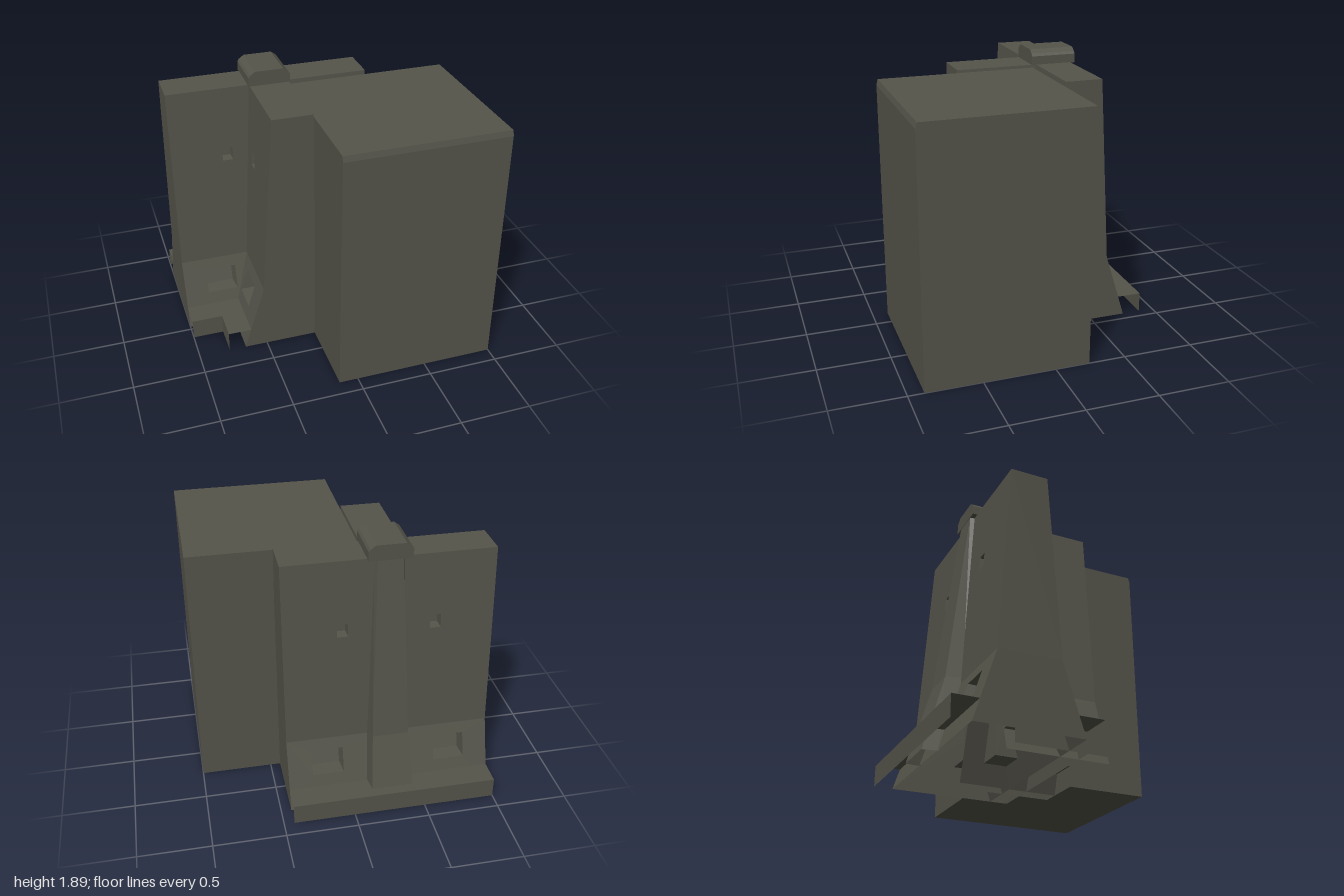
import * as THREE from 'three';

const TOP = 1.79, KNEE = 0.48, STEP = 0.145;

export function createModel() {
  const concrete = new THREE.MeshStandardMaterial({ color: 0x55544a, side: THREE.DoubleSide });
  concrete.name = 'olive grey';
  const model = new THREE.Group();
  model.name = 'barrierJunction';

  const add = (parent, geometry, name) => {
    const mesh = new THREE.Mesh(geometry, concrete);
    mesh.name = name;
    parent.add(mesh);
    return mesh;
  };
  const polygon = (pts) => new THREE.Shape(pts.map(([x, y]) => new THREE.Vector2(x, y)));
  const rect = (x0, x1, y0, y1) => [[x0, y0], [x1, y0], [x1, y1], [x0, y1]];

  // Half-thickness of a barrier at height y: base, knee, top
  const halfAt = ([base, knee, top], y) => (y < KNEE
    ? base + (knee - base) * y / KNEE
    : knee + (top - knee) * (y - KNEE) / (TOP - KNEE));

  // Open five-sided recess lying behind the sloping face
  function pocketGeometry(p, prof) {
    const g = new THREE.BoxGeometry(1, 1, 1).toNonIndexed();
    const keep = Array.from(g.attributes.position.array).filter((_, i) => i < 72 || i >= 90);
    const pos = new THREE.Float32BufferAttribute(keep, 3);
    for (let i = 0; i < pos.count; i++) {
      const inner = pos.getZ(i) < 0;
      const k = inner ? 0.88 : 1;
      const x = p.u + pos.getX(i) * p.w * k, y = p.y + pos.getY(i) * p.h * k;
      pos.setXYZ(i, x, y, halfAt(prof, y) - (inner ? p.d : 0));
    }
    const out = new THREE.BufferGeometry();
    out.setAttribute('position', pos);
    out.computeVertexNormals();
    return out;
  }

  // Outline with clipped corners for the pocket mouths
  const mouth = (p) => new THREE.Path(rect(p.u - p.w / 2, p.u + p.w / 2, p.y - p.h / 2, p.y + p.h / 2)
    .map(([x, y]) => new THREE.Vector2(x, y)));

  // One side of a barrier: two sloping panels, pockets and a hollow foot ledge
  function addSide(parent, angle, u0, u1, prof, ledge, pockets, name) {
    const side = new THREE.Group();
    side.name = name;
    side.rotation.y = angle;
    parent.add(side);
    for (const [y0, y1] of [[0, KNEE], [KNEE, TOP]]) {
      const shape = polygon(rect(u0, u1, y0, y1));
      pockets.filter((p) => p.y > y0 && p.y < y1).forEach((p) => shape.holes.push(mouth(p)));
      const g = new THREE.ShapeGeometry(shape);
      const pos = g.attributes.position;
      for (let i = 0; i < pos.count; i++) pos.setZ(i, halfAt(prof, pos.getY(i)));
      g.computeVertexNormals();
      add(side, g, y0 ? 'upperPanel' : 'lowerPanel');
    }
    pockets.forEach((p) => add(side, pocketGeometry(p, prof), 'pocket'));
    const inner = halfAt(prof, STEP), mid = (u0 + u1) / 2;
    const shelf = new THREE.PlaneGeometry(u1 - u0, ledge - inner).rotateX(-Math.PI / 2);
    add(side, shelf.translate(mid, STEP, (ledge + inner) / 2), 'ledgeTop');
    add(side, new THREE.PlaneGeometry(u1 - u0, STEP).translate(mid, STEP / 2, ledge), 'ledgeFront');
    return side;
  }

  const endShape = ([b, k, t]) => new THREE.ShapeGeometry(polygon(
    [[-b, 0], [b, 0], [k, KNEE], [t, TOP], [-t, TOP], [-k, KNEE]]));
  const large = (u) => ({ u, y: 0.315, w: 0.22, h: 0.17, d: 0.1 });
  const small = (u) => ({ u, y: 1.3, w: 0.075, h: 0.095, d: 0.07 });

  // Long barrier running side to side
  const mainProf = [0.365, 0.215, 0.13];
  const main = new THREE.Group();
  main.name = 'longBarrier';
  main.position.z = -0.395;
  model.add(main);
  addSide(main, 0, -1, 0.43, mainProf, 0.495, [large(-0.72), small(-0.6)], 'frontSide');
  const back = addSide(main, Math.PI, -0.43, 1, mainProf, 0.495,
    [large(0.72), large(-0.15), small(0.6), small(-0.03)], 'backSide');
  add(main, endShape(mainProf).rotateY(Math.PI / 2).translate(0.43, 0, 0), 'leftEnd');
  add(main, endShape(mainProf).rotateY(-Math.PI / 2).translate(-1, 0, 0), 'rightEnd');
  add(main, new THREE.PlaneGeometry(1.43, 0.26).rotateX(-Math.PI / 2).translate(-0.285, TOP, 0), 'barrierTop');

  // Short barrier coming forward
  const stemProf = [0.38, 0.23, 0.14];
  const stem = new THREE.Group();
  stem.name = 'shortBarrier';
  stem.position.x = -0.28;
  model.add(stem);
  addSide(stem, -Math.PI / 2, -0.395, 0.32, stemProf, 0.5, [large(0.04), small(-0.08)], 'rightSide');
  addSide(stem, Math.PI / 2, -0.32, 0.395, stemProf, 0.5, [], 'leftSide');
  add(stem, endShape(stemProf).translate(0, 0, 0.32), 'frontEnd');
  add(stem, new THREE.PlaneGeometry(0.28, 0.715).rotateX(-Math.PI / 2).translate(0, TOP, -0.0375), 'stemTop');

  // Tapering rib on the back: rows of height, half-width, reach
  const rows = [[0, 0.15, 0.46], [0.52, 0.125, 0.315], [TOP, 0.085, 0.16]].map(([y, h, z]) => {
    const zi = halfAt(mainProf, y) - 0.01;
    return [[h + 0.015, y, zi], [h, y, z], [-h, y, z], [-h - 0.015, y, zi]];
  });
  const verts = [];
  for (let r = 0; r < 2; r++) {
    for (let i = 0; i < 3; i++) {
      const a = rows[r][i], b = rows[r][i + 1], c = rows[r + 1][i + 1], d = rows[r + 1][i];
      verts.push(...a, ...d, ...c, ...a, ...c, ...b);
    }
  }
  const ribGeo = new THREE.BufferGeometry();
  ribGeo.setAttribute('position', new THREE.Float32BufferAttribute(verts, 3));
  ribGeo.computeVertexNormals();
  add(back, ribGeo, 'backRib').position.x = 0.28;

  // Chamfered cap over the junction
  const cap = polygon([[-0.147, 1.785], [0.147, 1.785], [0.147, 1.85], [0.135, 1.868], [0.1, 1.893],
    [-0.1, 1.893], [-0.135, 1.868], [-0.147, 1.85]]);
  add(model, new THREE.ExtrudeGeometry(cap, { depth: 0.325, bevelEnabled: false })
    .translate(-0.28, 0, -0.558), 'junctionCap');

  // Front block with a slightly eased top edge
  const frontProfile = polygon([[-0.32, 0], [-0.32, 1.77], [-0.88, 1.77], [-0.89, 1.73], [-0.89, 0]]);
  add(model, new THREE.ExtrudeGeometry(frontProfile, { depth: 1.135, bevelEnabled: false })
    .rotateY(Math.PI / 2).translate(-0.135, 0, 0), 'frontBlock');

  // Rear block, its foot cut out around the ledges
  add(model, new THREE.BoxGeometry(1.135, 1.77 - STEP, 0.56)
    .translate(0.4325, (1.77 + STEP) / 2, 0.04), 'rearBlock');
  const foot = polygon([[0.22, -0.32], [1, -0.32], [1, 0.24], [0.43, 0.24], [0.43, -0.1], [0.22, -0.1]]);
  add(model, new THREE.ExtrudeGeometry(foot, { depth: STEP, bevelEnabled: false })
    .rotateX(-Math.PI / 2), 'rearBlockFoot');

  return model;
}
